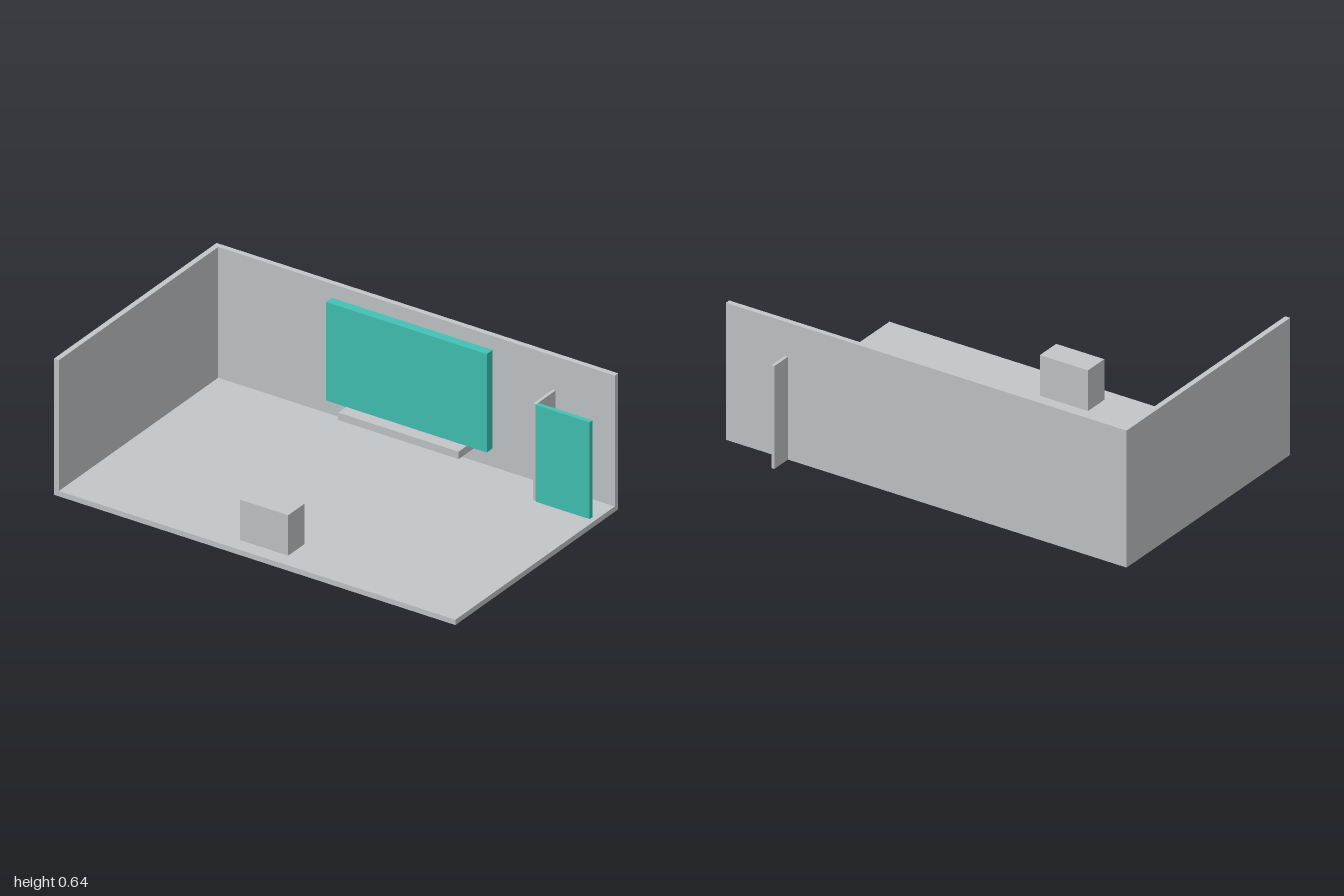
import * as THREE from 'three';

const grey = new THREE.MeshStandardMaterial({ name: 'light grey', color: 0xc2c6c8 });
const teal = new THREE.MeshStandardMaterial({ name: 'teal', color: 0x42c2b4 });

// Box given by its extents along each axis
function block(name, material, [x0, x1], [y0, y1], [z0, z1]) {
  const mesh = new THREE.Mesh(new THREE.BoxGeometry(x1 - x0, y1 - y0, z1 - z0), material);
  mesh.position.set((x0 + x1) / 2, (y0 + y1) / 2, (z0 + z1) / 2);
  mesh.name = name;
  return mesh;
}

export function createModel() {
  const room = new THREE.Group();
  room.name = 'room';

  // Shell: floor and two walls
  room.add(
    block('floor', grey, [-1, 1], [0, 0.025], [-0.55, 0.65]),
    block('backWall', grey, [-1, 1], [0.025, 0.64], [-0.55, -0.525]),
    block('sideWall', grey, [-1, -0.975], [0.025, 0.64], [-0.525, 0.65]),
  );

  // Wall screen with the ledge below it, and the desk facing it
  room.add(
    block('screen', teal, [-0.4, 0.4], [0.12, 0.583], [-0.512, -0.469]),
    block('ledge', grey, [-0.3, 0.3], [0.085, 0.12], [-0.525, -0.41]),
    block('desk', grey, [-0.12, 0.12], [0.025, 0.215], [0.46, 0.58]),
  );

  // Door panel and the partition that passes through the back wall
  room.add(
    block('door', teal, [0.705, 0.975], [0, 0.48], [-0.397, -0.376]),
    block('partition', grey, [0.69, 0.705], [0, 0.48], [-0.65, -0.382]),
  );
  return room;
}
